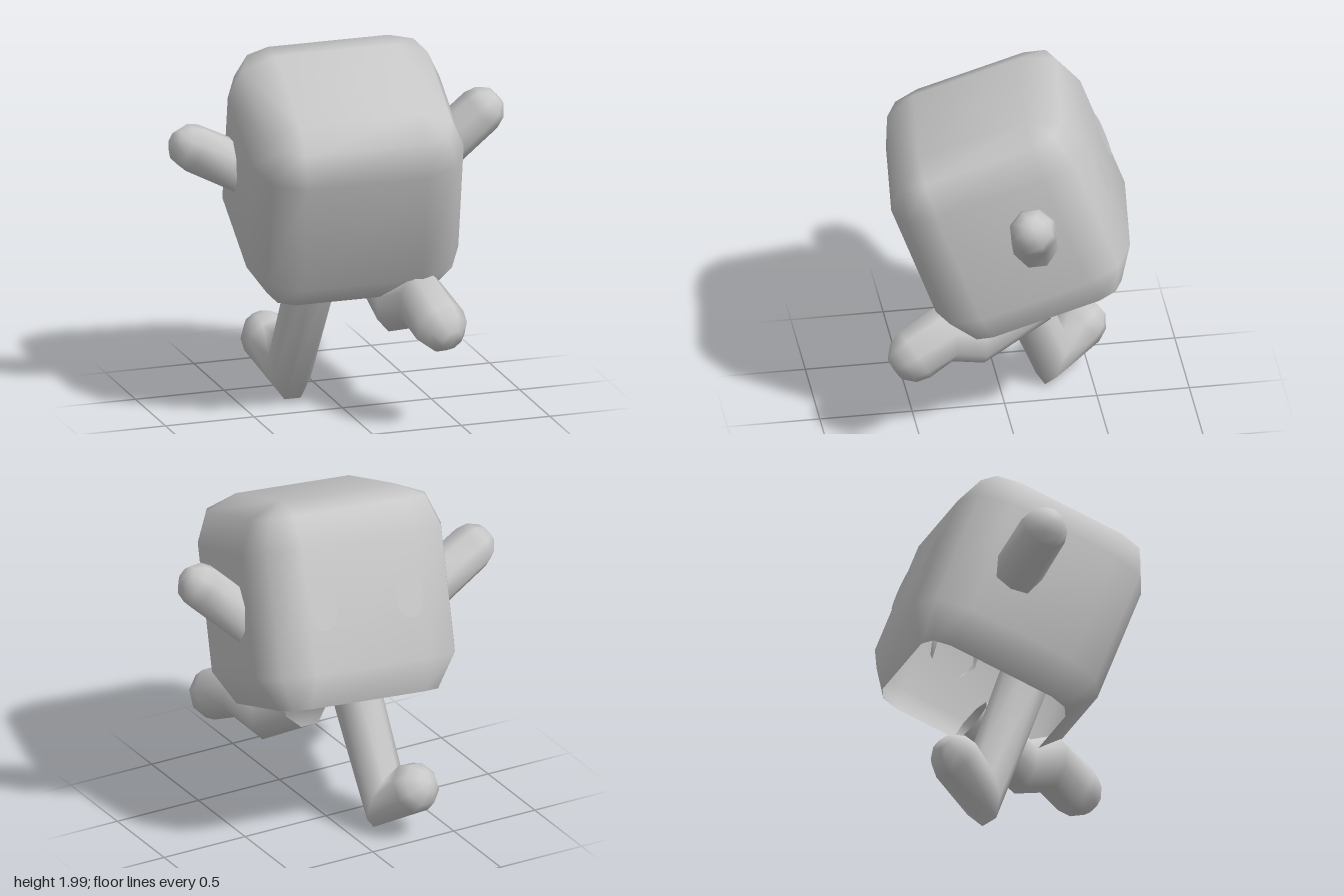
import * as THREE from 'three';
import { mergeVertices } from 'three/addons/utils/BufferGeometryUtils.js';

const V = (x, y, z) => new THREE.Vector3(x, y, z);
const grey = new THREE.MeshStandardMaterial({ color: 0xc8c8c8, side: THREE.DoubleSide });
grey.name = 'plain grey';

// Skin a list of equal-length closed rings with smooth normals
function loft(name, rings) {
  const n = rings[0].length, pos = [], index = [];
  rings.forEach(ring => ring.forEach(p => pos.push(p.x, p.y, p.z)));
  for (let i = 0; i < rings.length - 1; i++) {
    for (let j = 0; j < n; j++) {
      const a = i * n + j, b = i * n + (j + 1) % n;
      index.push(a, b, b + n, a, b + n, a + n);
    }
  }
  let geo = new THREE.BufferGeometry();
  geo.setAttribute('position', new THREE.Float32BufferAttribute(pos, 3));
  geo.setIndex(index);
  geo = mergeVertices(geo, 1e-4);
  geo.computeVertexNormals();
  const mesh = new THREE.Mesh(geo, grey);
  mesh.name = name;
  return mesh;
}

// Rounded rectangle at height y, shrunk by an inset
function bodyRing(y, inset) {
  const r = Math.max(0.25 - inset, 0), w = 0.58 - inset - r, d = 0.555 - inset - r, ring = [];
  for (let q = 0; q < 4; q++) {
    const sx = q < 2 ? 1 : -1, sz = q === 0 || q === 3 ? 1 : -1;
    for (let k = 0; k < 3; k++) {
      const a = (q + k / 2) * Math.PI / 2;
      ring.push(V(sx * w + r * Math.sin(a), y, sz * d + r * Math.cos(a)));
    }
  }
  return ring;
}

// Bent limb: mitred eight-sided rings along a path, one radius per point, with a blunt tip
function limb(name, pts, radii, sideRef) {
  const rings = [], sides = 8;
  const addRing = (c, t, rad, miter = 1) => {
    const s = sideRef.clone().addScaledVector(t, -sideRef.dot(t)).normalize();
    const n = t.clone().cross(s);
    rings.push(Array.from({ length: sides }, (_, j) => {
      const a = (j + 0.5) / sides * Math.PI * 2;
      return c.clone().addScaledVector(s, rad * Math.cos(a)).addScaledVector(n, rad * miter * Math.sin(a));
    }));
  };
  const dirs = pts.slice(1).map((p, i) => p.clone().sub(pts[i]).normalize());
  pts.forEach((p, i) => {
    const a = dirs[Math.max(i - 1, 0)], b = dirs[Math.min(i, dirs.length - 1)];
    const t = a.clone().add(b).normalize();
    addRing(p, t, radii[i], Math.min(1 / t.dot(a), 1.3));
  });
  const end = pts[pts.length - 1], t = dirs[dirs.length - 1], r = radii[radii.length - 1];
  for (const [along, rad] of [[0.5, 0.85], [0.88, 0.45], [0.92, 0]]) {
    addRing(end.clone().addScaledVector(t, along * r), t, rad * r);
  }
  return loft(name, rings);
}

export function createModel() {
  const model = new THREE.Group();
  model.name = 'runningBlockFigure';

  // Hollow rounded block, open underneath, leaning back
  const body = new THREE.Group();
  body.name = 'body';
  const profile = [[-0.56, 0.12], [-0.37, 0], [0.31, 0], [0.487, 0.073], [0.56, 0.25]];
  const rings = profile.map(([y, inset]) => bodyRing(y, inset));
  rings.push(rings[0].map(() => V(0, 0.56, 0)));
  body.add(loft('shell', rings));

  // Oval eyes on the face
  for (const s of [-1, 1]) {
    const eye = new THREE.Mesh(new THREE.CircleGeometry(1, 24), grey);
    eye.name = s > 0 ? 'leftEye' : 'rightEye';
    eye.scale.set(0.08, 0.13, 1);
    eye.rotation.y = Math.PI;
    eye.position.set(s * 0.25, -0.01, -0.564);
    body.add(eye);
  }
  body.rotation.set(0.358, -0.1, 0.038, 'YXZ');
  body.position.set(0.006, 1.35, -0.007);
  model.add(body);

  // Arms
  const zAxis = V(0, 0, 1), xAxis = V(1, 0, 0);
  model.add(limb('leftArm', [V(0.52, 1.33, -0.085), V(0.79, 1.585, -0.03)], [0.13, 0.13], zAxis));
  model.add(limb('rightArm', [V(-0.5, 1.335, -0.215), V(-0.79, 1.49, -0.18)], [0.135, 0.132], zAxis));

  // Planted leg, then the leg kicked up behind
  model.add(limb('plantedLeg',
    [V(-0.13, 0.95, 0.02), V(-0.205, 0.172, -0.28), V(-0.275, 0.3, -0.455)], [0.138, 0.142, 0.143], xAxis));
  model.add(limb('kickedLeg',
    [V(0.22, 0.8, -0.14), V(0.25, 0.61, 0.18), V(0.315, 0.69, 0.365), V(0.365, 0.595, 0.545)],
    [0.138, 0.138, 0.15, 0.148], xAxis));
  return model;
}
